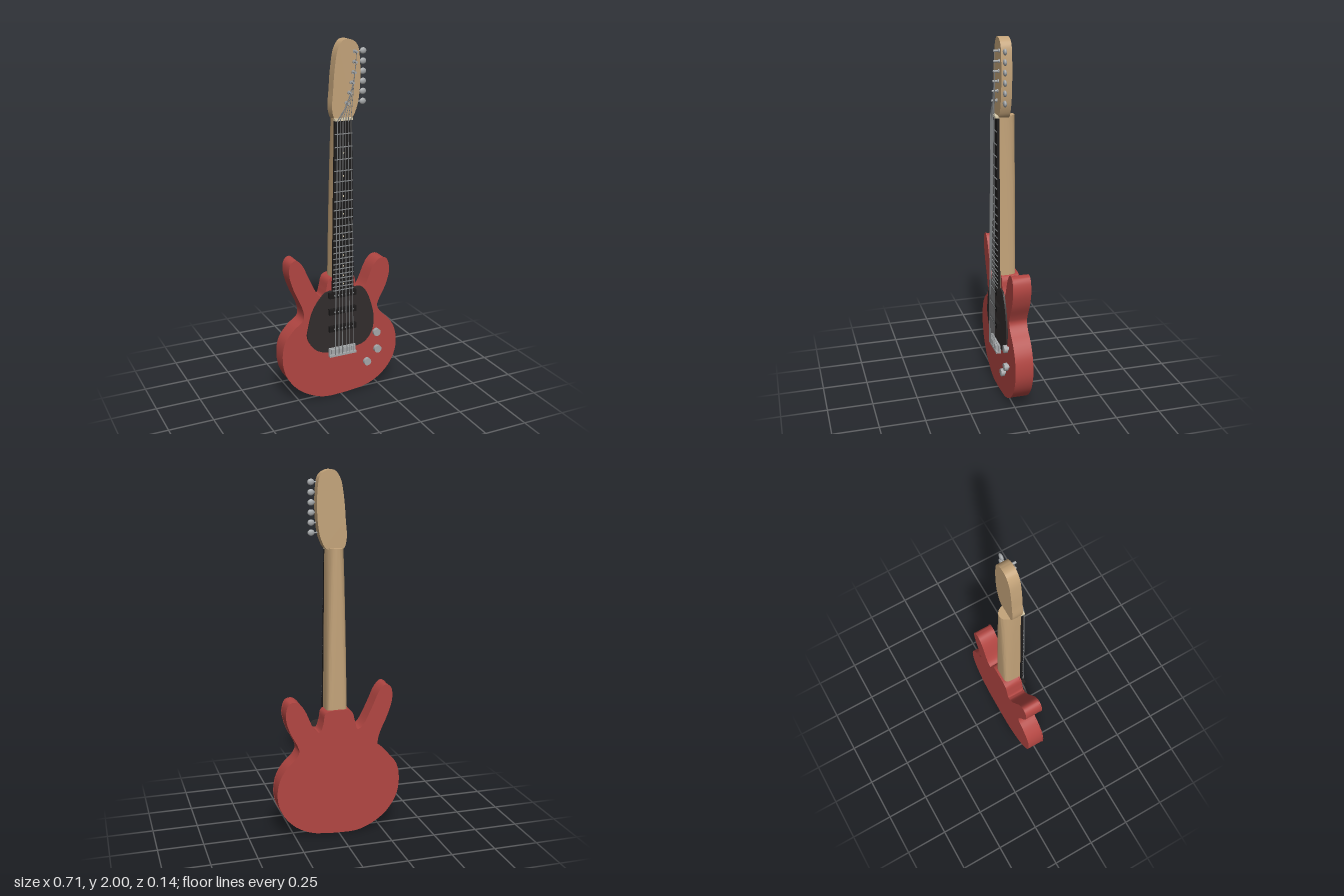
import * as THREE from 'three';
import { toCreasedNormals } from 'three/addons/utils/BufferGeometryUtils.js';

const paint = (name, color) => Object.assign(new THREE.MeshStandardMaterial({ color }), { name });

export function createModel() {
  const red = paint('red lacquer', 0xb24642);
  const wood = paint('maple', 0xc4a47a);
  const charcoal = paint('pickguard charcoal', 0x322d2d);
  const black = paint('black', 0x1d1b1b);
  const metal = paint('metal', 0xa6a9ab);
  const steel = paint('string steel', 0x85888a);
  const cream = paint('cream', 0xdccfae);

  const root = new THREE.Group();
  root.name = 'electricGuitar';

  const add = (name, geo, mat, x = 0, y = 0, z = 0) => {
    const m = new THREE.Mesh(geo, mat);
    m.name = name;
    m.position.set(x, y, z);
    root.add(m);
    return m;
  };
  const box = (name, mat, w, h, d, x, y, z) => add(name, new THREE.BoxGeometry(w, h, d), mat, x, y, z);
  // Cylinder pointing forward from z0 to z1
  const peg = (name, mat, r, x, y, z0, z1, sides = 14) =>
    add(name, new THREE.CylinderGeometry(r, r, z1 - z0, sides).rotateX(Math.PI / 2), mat, x, y, (z0 + z1) / 2);
  // Plate from an outline, between z0 and z1
  const plate = (name, pts, mat, z0, z1, smooth = 0) => {
    let outline = pts.map(([x, y]) => new THREE.Vector2(x, y));
    if (smooth) {
      const curve = new THREE.CatmullRomCurve3(pts.map(([x, y]) => new THREE.Vector3(x, y, 0)), true);
      outline = curve.getPoints(smooth).slice(0, -1).map(p => new THREE.Vector2(p.x, p.y));
    }
    const geo = new THREE.ExtrudeGeometry(new THREE.Shape(outline), { depth: z1 - z0, bevelEnabled: false });
    return add(name, toCreasedNormals(geo, 0.7), mat, 0, 0, z0);
  };

  // Body with two horns and a neck heel, plus a slightly wider front edge
  const bodyOutline = [
    [0, 0.005], [-0.12, 0.01], [-0.255, 0.08], [-0.33, 0.18], [-0.351, 0.28], [-0.335, 0.38],
    [-0.28, 0.45], [-0.226, 0.495], [-0.226, 0.55], [-0.28, 0.68], [-0.304, 0.77], [-0.295, 0.83],
    [-0.265, 0.847], [-0.23, 0.815], [-0.19, 0.73], [-0.135, 0.625], [-0.105, 0.605], [-0.09, 0.65],
    [-0.07, 0.71], [0, 0.722], [0.075, 0.71], [0.09, 0.65], [0.11, 0.605], [0.14, 0.625],
    [0.2, 0.75], [0.24, 0.785], [0.278, 0.778], [0.298, 0.715], [0.278, 0.625], [0.235, 0.54],
    [0.225, 0.505], [0.245, 0.465], [0.3, 0.41], [0.34, 0.335], [0.348, 0.23], [0.315, 0.14],
    [0.245, 0.065], [0.155, 0.022], [0.07, 0.01]];
  plate('body', bodyOutline, red, -0.073, 0.022, 156);
  plate('bodyFrontEdge', bodyOutline.map(([x, y]) => [x * 1.006, (y - 0.3) * 1.006 + 0.3]), red, 0.021, 0.027, 156);

  // Pickguard
  plate('pickguard', [
    [-0.125, 0.615], [-0.09, 0.642], [0.02, 0.642], [0.12, 0.642], [0.153, 0.605], [0.18, 0.54],
    [0.2, 0.45], [0.19, 0.36], [0.14, 0.3], [0.06, 0.283], [-0.07, 0.275], [-0.16, 0.31],
    [-0.208, 0.39], [-0.2, 0.45], [-0.175, 0.54]], charcoal, 0.027, 0.036, 60);

  // Neck: round at the top, squarer towards the body
  const cx = 0.004, yLow = 0.6, yTop = 1.595;
  const neckGeometry = () => {
    const rows = 16, n = 25, pos = [], idx = [];
    for (let j = 0; j < rows; j++) {
      const t = j / (rows - 1), e = 2 / (2.2 + 4 * (1 - t)), w = 0.06 - 0.012 * t;
      for (let i = 0; i < n; i++) {
        const a = Math.PI * i / (n - 1), c = Math.cos(a), s = Math.max(0, Math.sin(a));
        pos.push(cx + w * Math.sign(c) * Math.abs(c) ** e, yLow + (yTop - yLow) * t, 0.032 - 0.093 * s ** e);
      }
    }
    for (let j = 0; j < rows - 1; j++)
      for (let i = 0; i < n; i++) {
        const a = j * n + i, b = j * n + (i + 1) % n;
        idx.push(a, b, a + n, b, b + n, a + n);
      }
    const top = (rows - 1) * n;
    for (let i = 1; i < n - 1; i++) idx.push(top, top + i, top + i + 1, 0, i + 1, i);
    const g = new THREE.BufferGeometry();
    g.setAttribute('position', new THREE.Float32BufferAttribute(pos, 3));
    g.setIndex(idx);
    return toCreasedNormals(g, 0.8);
  };
  add('neck', neckGeometry(), wood);

  // Fretboard, nut, frets and position dots
  const halfWidth = y => 0.064 - 0.015 * (y - yLow) / (yTop - yLow);
  const corner = (s, y) => [cx + s * halfWidth(y), y];
  plate('fretboard', [corner(-1, 0.635), corner(1, 0.635), corner(1, 1.59), corner(-1, 1.59)], black, 0.032, 0.046);
  box('nut', cream, 0.1, 0.012, 0.022, cx, 1.592, 0.043);
  const fretY = n => 0.28 + 1.31 * 2 ** (-n / 12);
  for (let n = 1; n <= 22; n++)
    box('fret', steel, 2 * halfWidth(fretY(n)), 0.005, 0.004, cx, fretY(n), 0.047);
  for (const n of [3, 5, 7, 9, 12, 15, 17, 19, 21])
    peg('positionDot', cream, 0.005, cx, (fretY(n) + fretY(n - 1)) / 2, 0.045, 0.047, 10);

  // Headstock
  plate('headstock', [
    [-0.035, 1.588], [-0.055, 1.64], [-0.05, 1.74], [-0.04, 1.86], [-0.021, 1.955], [0.01, 1.996],
    [0.05, 1.997], [0.087, 1.97], [0.101, 1.91], [0.102, 1.74], [0.083, 1.64], [0.05, 1.588]],
    wood, -0.021, 0.036, 60);

  // Pickups with pole pieces
  const stringX = (k, spread) => cx + (k / 5 - 0.5) * spread;
  for (const y of [0.622, 0.525, 0.423]) {
    box('pickup', black, 0.164, 0.032, 0.022, 0, y, 0.045);
    for (let k = 0; k < 6; k++) peg('polePiece', steel, 0.004, stringX(k, 0.112), y, 0.054, 0.058, 8);
  }

  // Bridge: base plate, rear rail and saddles
  box('bridgePlate', metal, 0.164, 0.048, 0.014, 0, 0.28, 0.041);
  box('bridgeRail', metal, 0.164, 0.012, 0.026, 0, 0.262, 0.047);
  for (let k = 0; k < 6; k++) box('saddle', metal, 0.02, 0.026, 0.016, stringX(k, 0.125) - cx, 0.288, 0.054);

  // Control knobs
  for (const [x, y] of [[0.215, 0.35], [0.222, 0.245], [0.157, 0.178]]) {
    peg('knobStem', metal, 0.011, x, y, 0.026, 0.038);
    peg('knob', metal, 0.022, x, y, 0.036, 0.056, 12);
  }

  // Tuners and strings
  const postX = [0.025, 0.04, 0.053, 0.063, 0.069, 0.071];
  for (let k = 0; k < 6; k++) {
    const y = 1.675 + 0.052 * k;
    peg('tunerPost', metal, 0.006, postX[k], y, 0.03, 0.068, 10);
    peg('tunerCollar', metal, 0.01, postX[k], y, 0.035, 0.042, 12);
    add('tunerShaft', new THREE.CylinderGeometry(0.004, 0.004, 0.05, 8).rotateZ(Math.PI / 2), metal, 0.1, y, 0.023);
    add('tunerButton', new THREE.SphereGeometry(1, 14, 10).scale(0.019, 0.017, 0.009), metal, 0.126, y, 0.023);
    const path = new THREE.CurvePath();
    const pts = [[stringX(k, 0.112), 0.27, 0.063], [stringX(k, 0.076), 1.592, 0.056], [postX[k], y, 0.06]]
      .map(p => new THREE.Vector3(...p));
    for (let i = 0; i < 2; i++) path.add(new THREE.LineCurve3(pts[i], pts[i + 1]));
    add('string', new THREE.TubeGeometry(path, 40, 0.0026 - 0.0002 * k, 6), steel);
  }
  return root;
}
